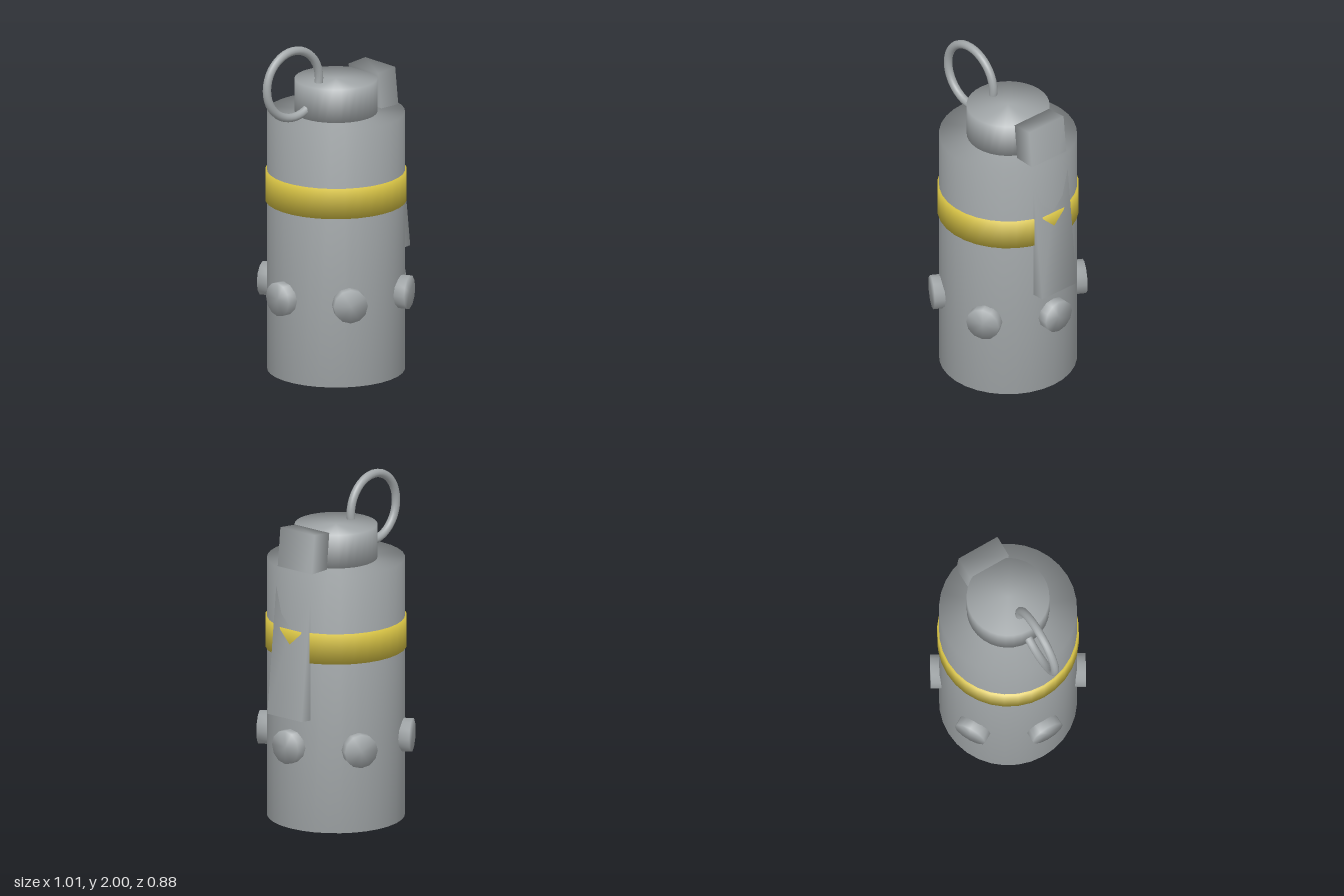
import * as THREE from 'three';
import { mergeVertices } from 'three/addons/utils/BufferGeometryUtils.js';

const grey = new THREE.MeshStandardMaterial({ name: 'metalGrey', color: 0xa3a8aa });
const yellow = new THREE.MeshStandardMaterial({ name: 'bandYellow', color: 0xd1bd42 });

// Weld corners so shading flows softly over every edge
function soften(geometry) {
  geometry.deleteAttribute('uv');
  geometry.deleteAttribute('normal');
  const welded = mergeVertices(geometry, 1e-4);
  welded.computeVertexNormals();
  return welded;
}

function addPart(parent, name, geometry, material, x, y, z) {
  const mesh = new THREE.Mesh(soften(geometry), material);
  mesh.name = name;
  mesh.position.set(x, y, z);
  parent.add(mesh);
  return mesh;
}

function drum(radius, bottom, top, sides = 32) {
  return new THREE.CylinderGeometry(radius, radius, top - bottom, sides)
    .translate(0, (top + bottom) / 2, 0);
}

export function createModel() {
  const model = new THREE.Group();
  model.name = 'canister';
  const axisX = 0.05;

  // Canister, painted band and fuse cap share one axis
  addPart(model, 'body', drum(0.4, 0, 1.55), grey, axisX, 0, 0);
  addPart(model, 'band', drum(0.41, 1.02, 1.2), yellow, axisX, 0, 0);
  addPart(model, 'cap', drum(0.24, 1.55, 1.75), grey, axisX, 0, 0);

  // Safety lever leaning out towards the bottom, partly sunk in the body
  const lever = addPart(model, 'lever', new THREE.BoxGeometry(0.13, 1.106, 0.262), grey, 0.383, 1.223, 0);
  lever.rotation.z = THREE.MathUtils.degToRad(6);

  // Pull ring
  addPart(model, 'pullRing', new THREE.TorusGeometry(0.2, 0.025, 12, 40), grey, -0.28, 1.777, 0);

  // Six round studs around the lower body
  const studs = new THREE.Group();
  studs.name = 'studs';
  studs.position.set(axisX, 0.5, 0);
  for (let i = 0; i < 6; i++) {
    const arm = new THREE.Group();
    arm.name = 'studArm';
    arm.rotation.y = i * Math.PI / 3;
    const geometry = new THREE.CylinderGeometry(0.1, 0.1, 0.1, 12).rotateZ(-Math.PI / 2);
    addPart(arm, 'stud', geometry, grey, 0.4, 0, 0);
    studs.add(arm);
  }
  model.add(studs);
  return model;
}
